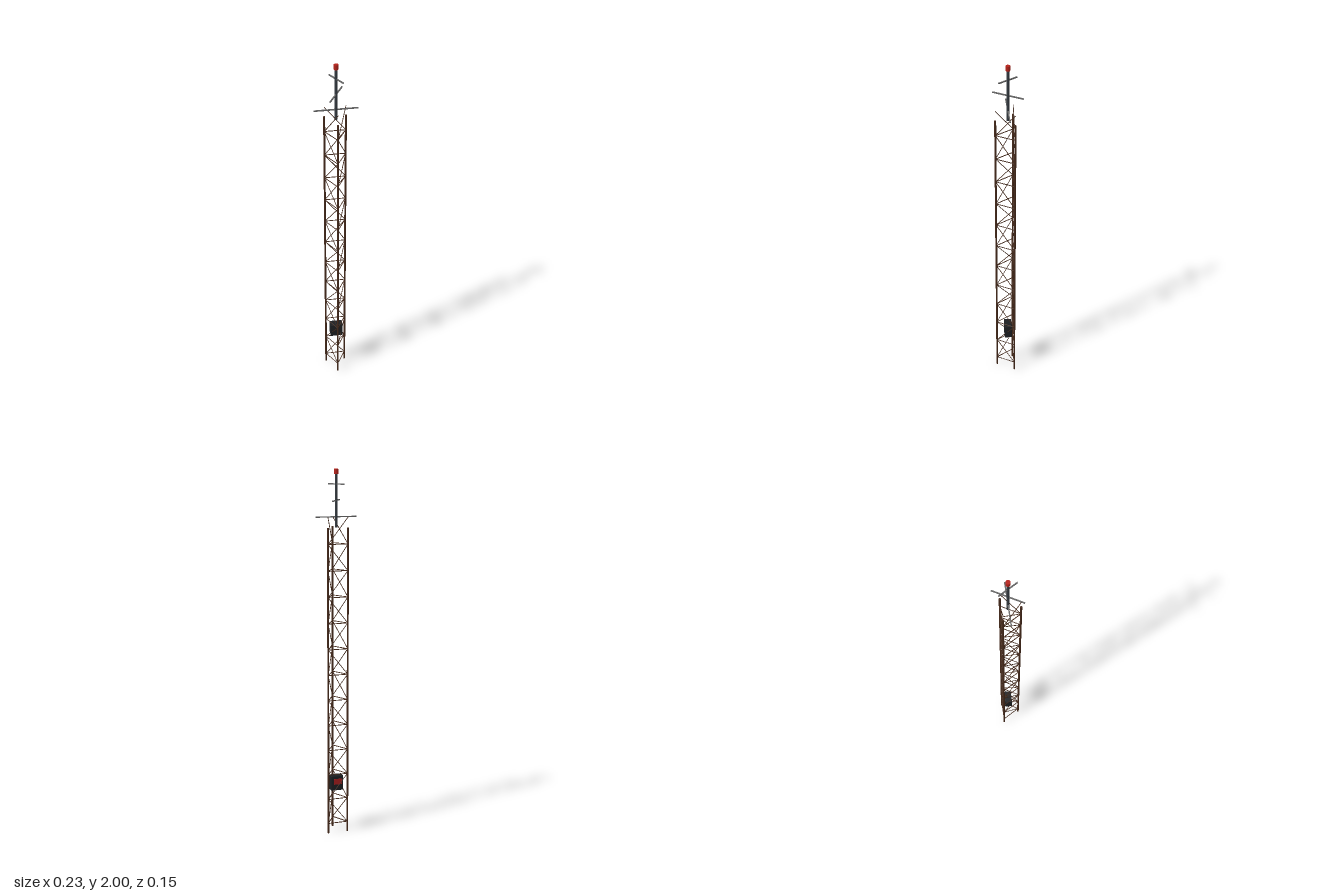
import * as THREE from 'three';
import { RoundedBoxGeometry } from 'three/addons/geometries/RoundedBoxGeometry.js';

const material = (color) => new THREE.MeshStandardMaterial({ color });
const rust = material(0x45291a);
const steel = material(0x343a40);
const rodGrey = material(0x686868);
const black = material(0x1b1e21);
const red = material(0xb5221a);
const darkRed = material(0xa01c1c);

// Round bar between two points
function bar(name, a, b, radius, sides) {
  const dir = new THREE.Vector3().subVectors(b, a);
  const mesh = new THREE.Mesh(new THREE.CylinderGeometry(radius, radius, dir.length(), sides), rust);
  mesh.name = name;
  mesh.position.addVectors(a, b).multiplyScalar(0.5);
  mesh.quaternion.setFromUnitVectors(new THREE.Vector3(0, 1, 0), dir.normalize());
  return mesh;
}

export function createModel() {
  const model = new THREE.Group();
  model.name = 'latticeTower';

  const add = (name, geometry, mat, x, y, z) => {
    const mesh = new THREE.Mesh(geometry, mat);
    mesh.name = name;
    mesh.position.set(x, y, z);
    model.add(mesh);
    return mesh;
  };

  // Triangular plan: one corner in front, two at the back
  const corner = (i, y) => {
    const a = ((i % 3) * Math.PI * 2) / 3;
    return new THREE.Vector3(0.064 * Math.sin(a), y, 0.064 * Math.cos(a));
  };

  // Legs
  for (let i = 0; i < 3; i++) model.add(bar('leg', corner(i, 0), corner(i, 1.697), 0.0053, 8));

  // Rungs and alternating diagonals, bay by bay
  const lattice = new THREE.Group();
  lattice.name = 'lattice';
  const bays = 12, start = 0.056, step = 0.1413;
  for (let n = 0; n < bays; n++) {
    const y0 = start + n * step, y1 = y0 + step;
    for (let i = 0; i < 3; i++) {
      lattice.add(bar('rung', corner(i, y0), corner(i + 1, y0), 0.0023, 6));
      const [from, to] = n % 2 ? [i, i + 1] : [i + 1, i];
      lattice.add(bar('diagonal', corner(from, y0), corner(to, y1), 0.002, 6));
    }
  }
  model.add(lattice);

  // Mast
  add('mast', new THREE.CylinderGeometry(0.007, 0.007, 0.285, 12), steel, 0, 1.8375, 0);

  // Square antenna rods: height, length, turn about the mast
  for (const [y, length, turn] of [[1.752, 0.226, 0], [1.837, 0.17, Math.PI / 3], [1.922, 0.112, -Math.PI / 3]]) {
    add('antennaRod', new THREE.BoxGeometry(length, 0.006, 0.006), rodGrey, 0, y, 0).rotation.y = turn;
  }

  // Beacon
  add('beacon', new THREE.CylinderGeometry(0.0115, 0.0115, 0.026, 16), red, 0, 1.987, 0);

  // Equipment box with a red plate on the back
  add('equipmentBox', new RoundedBoxGeometry(0.07, 0.084, 0.042, 2, 0.003), black, 0, 0.283, 0);
  add('warningPlate', new THREE.BoxGeometry(0.048, 0.032, 0.003), darkRed, -0.004, 0.292, -0.0215);

  return model;
}
